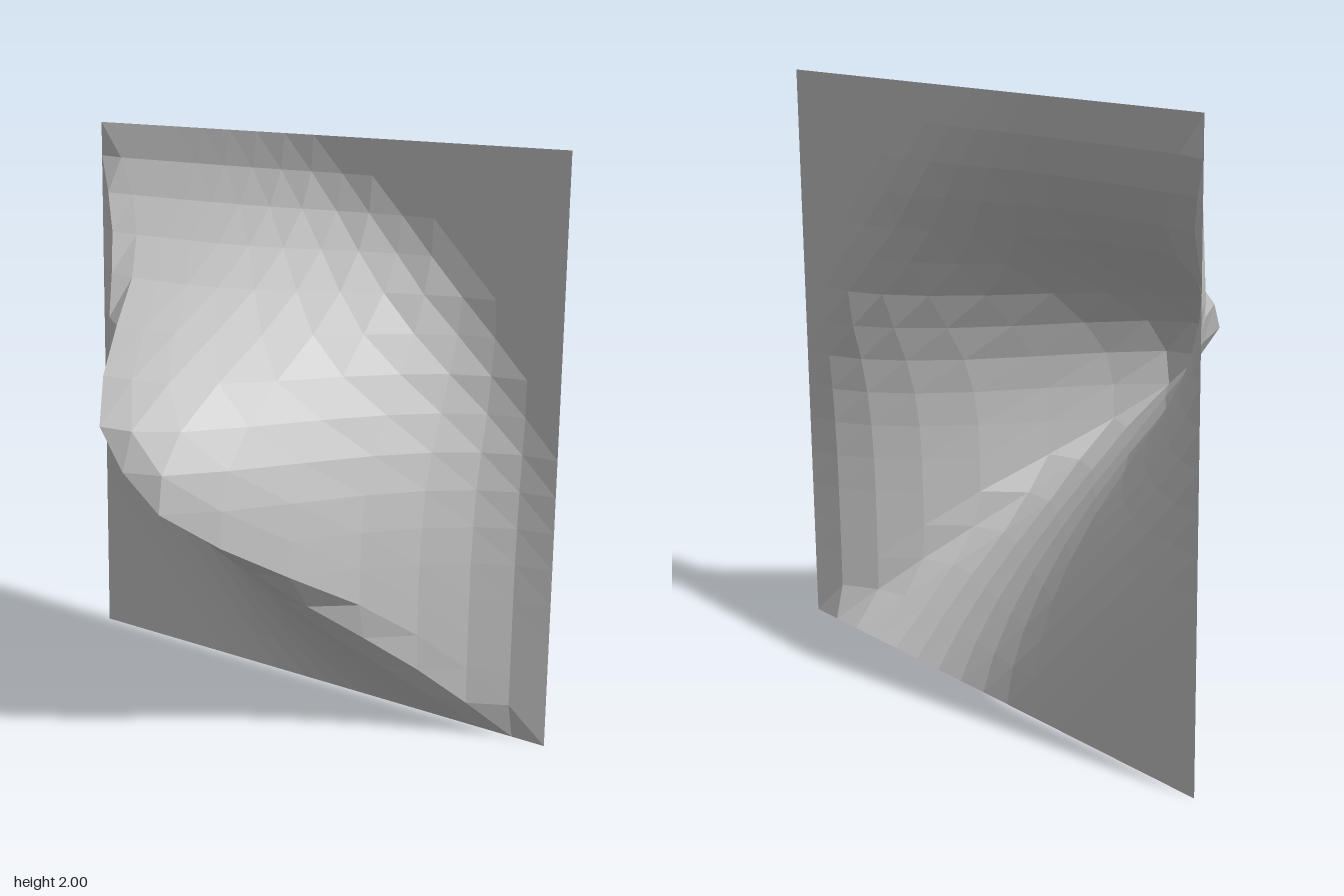
import * as THREE from 'three';

// linear interpolation in a profile with steps of 1/8, zero past its end
function sample(profile, d) {
  const i = Math.floor(d * 8);
  if (i >= profile.length - 1) return 0;
  return THREE.MathUtils.lerp(profile[i], profile[i + 1], d * 8 - i);
}

// rounded fall-off of the upper side
const BELL = [1, 0.97, 0.815, 0.61, 0.39, 0.225, 0.105, 0.03, 0];
// steep fall-off below the crest
const SLOPE = [1, 0.87, 0.71, 0.54, 0.38, 0.22, 0.1, 0.03, 0];

// smaller of two heights, with a rounded transition
function softMin(a, b) {
  if (Math.min(a, b) < 1e-4) return 0;
  return (a ** -8 + b ** -8) ** (-1 / 8);
}

// height of the sheet above its flat border, 0..1
function height(u, v) {
  const s = u + v;
  const high = Math.max(u, v);
  const low = Math.min(u, v);
  if (s >= 0) {
    const m = Math.max(high, -low);
    return sample(BELL, (m ** 4 + (0.82 * s) ** 4) ** 0.25);
  }
  // the crest drifts away from the diagonal as it ramps down to the border
  const ramp = Math.min(1, 1.06 * (1 + low));
  const drop = Math.max(0, -s + 0.42 * low);
  return softMin(ramp * sample(SLOPE, drop), sample(BELL, Math.max(high, 0)));
}

export function createModel() {
  const group = new THREE.Group();
  group.name = 'peakedSheet';

  // quarter turn so the cell diagonals run along the ridge
  const geometry = new THREE.PlaneGeometry(2, 2, 16, 16).rotateZ(Math.PI / 2);
  const p = geometry.attributes.position;
  for (let i = 0; i < p.count; i++) {
    const u = Math.round(p.getX(i) * 8) / 8;
    const v = Math.round(p.getY(i) * 8) / 8;
    p.setXYZ(i, u, v + 1, height(u, v) - 0.5);
  }
  geometry.computeVertexNormals();

  const sheet = new THREE.Mesh(
    geometry,
    new THREE.MeshStandardMaterial({ color: 0xcccccc, flatShading: true, side: THREE.DoubleSide })
  );
  sheet.name = 'sheet';
  group.add(sheet);
  return group;
}
